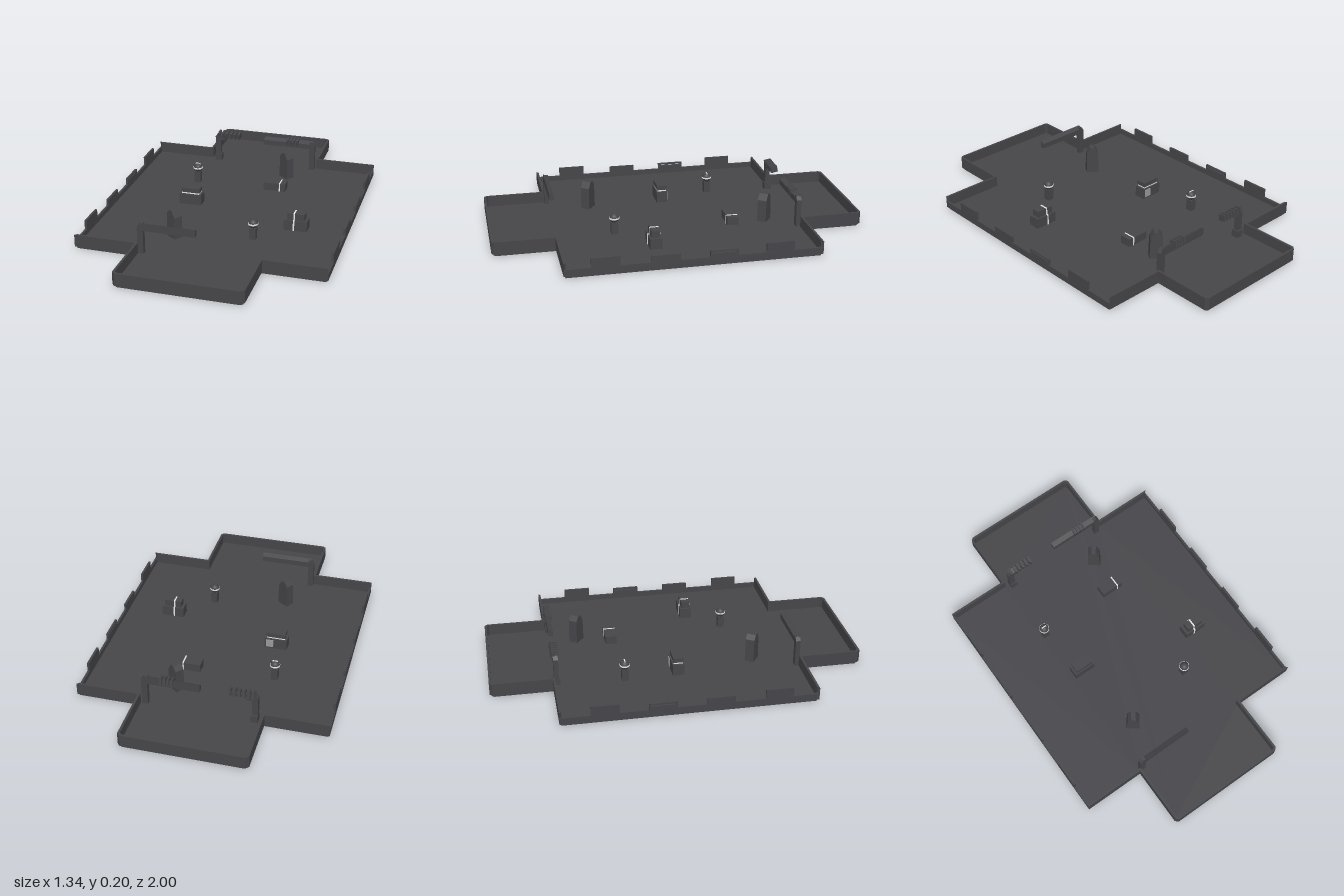
import * as THREE from 'three';

const mat = (name, color) => {
  const m = new THREE.MeshStandardMaterial({ color });
  m.name = name;
  return m;
};

export function createModel() {
  const root = new THREE.Group();
  const dark = mat('dark grey', 0x46464a);
  const white = mat('white', 0xe6e6e6);
  const grey = mat('light grey', 0x9a9a9c);

  const add = (name, geo, m = dark, parent = root) => {
    const mesh = new THREE.Mesh(geo, m);
    mesh.name = name;
    parent.add(mesh);
    return mesh;
  };
  // box given by its min and max corners
  const box = (name, x0, x1, y0, y1, z0, z1, m = dark, parent = root) => {
    const b = add(name, new THREE.BoxGeometry(x1 - x0, y1 - y0, z1 - z0), m, parent);
    b.position.set((x0 + x1) / 2, (y0 + y1) / 2, (z0 + z1) / 2);
    return b;
  };
  // horizontal outline (x, z) raised from y0 to y1
  const slab = (name, pts, y0, y1, m = dark) => {
    const s = new THREE.Shape(pts.map(p => new THREE.Vector2(p[0], p[1])));
    const g = new THREE.ExtrudeGeometry(s, { depth: y1 - y0, bevelEnabled: false });
    g.rotateX(Math.PI / 2).translate(0, y1, 0);
    return add(name, g, m);
  };
  const mirrorX = pts => [...pts, ...pts.slice().reverse().map(([x, z]) => [-x, z])];
  const half = d => [[0.67 - d, 0.67 - d], [0.335 - d, 0.67 - d],
    [0.335 - d, 0.985 - d * 0.7], [0.32 - d * 0.7, 1 - d]];

  // Cross-shaped floor with a slightly wider rim
  const outline = d => {
    const front = mirrorX(half(d));
    return [...front, ...front.map(([x, z]) => [-x, -z])];
  };
  slab('floorBase', outline(0.01), 0, 0.013);
  slab('floor', outline(0.004), 0.01, 0.02);

  // Taller walls round the front and back bays
  const bay = [...mirrorX(half(0)), ...mirrorX(half(0.012)).reverse()];
  slab('frontBayWall', bay, 0.012, 0.08);
  slab('backBayWall', bay.map(([x, z]) => [-x, -z]), 0.012, 0.08);

  // Low side walls with raised panels, some of them slotted
  for (const s of [-1, 1]) {
    const wall = new THREE.Group();
    wall.name = s > 0 ? 'leftSideWall' : 'rightSideWall';
    root.add(wall);
    const x0 = s > 0 ? 0.658 : -0.67, x1 = x0 + 0.012;
    box('lowWall', x0, x1, 0.012, 0.048, -0.67, 0.67, dark, wall);
    for (const [z, top, slot] of [[0.46, 0.098, 0], [0.155, 0.083, 0], [-0.145, 0.083, 1], [-0.44, 0.098, 0]]) {
      if (!slot) {
        box('raisedPanel', x0, x1, 0.048, top, z - 0.073, z + 0.073, dark, wall);
      } else {
        box('raisedPanel', x0, x1, 0.048, 0.068, z - 0.073, z + 0.073, dark, wall);
        box('panelRail', x0, x1, 0.074, top, z - 0.073, z + 0.073, dark, wall);
        for (const e of [-1, 1])
          box('panelEnd', x0, x1, 0.068, 0.074, z + e * 0.07 - 0.003, z + e * 0.07 + 0.003, dark, wall);
      }
    }
  }

  // Broken gateways: a post and a beam with a sloping top
  const gate = (name, xPost, xEnd, side, teeth) => {
    const g = new THREE.Group();
    g.name = name;
    root.add(g);
    const dir = Math.sign(xEnd - xPost);
    const shape = new THREE.Shape([[0.636, 0.15], [0.662, 0.15], [0.662, 0.193], [0.636, 0.18]]
      .map(p => new THREE.Vector2(p[0] * side, p[1])));
    const len = Math.abs(xEnd - xPost) - 0.012;
    const beam = new THREE.ExtrudeGeometry(shape, { depth: len, bevelEnabled: false });
    beam.rotateY(-Math.PI / 2).translate(Math.max(xPost + dir * 0.012, xEnd), 0, 0);
    add('beam', beam, dark, g);
    // post with a cut outer top corner
    const post = new THREE.Shape([[0, 0.02], [0.032, 0.02], [0.032, 0.19], [0.014, 0.19], [0, 0.17]]
      .map(p => new THREE.Vector2(xPost + dir * p[0], p[1])));
    const pg = new THREE.ExtrudeGeometry(post, { depth: 0.026, bevelEnabled: false });
    pg.translate(0, 0, side > 0 ? 0.636 : -0.662);
    add('post', pg, dark, g);
    for (const x of teeth) {
      const t = box('tooth', x - 0.006, x + 0.006, 0.165, 0.2, -0.02, 0.02, dark, g);
      t.position.z = side * 0.65;
      t.rotation.x = -side * 0.2;
    }
  };
  const row = (a, n, step) => Array.from({ length: n }, (_, i) => a + i * step);
  gate('frontGate', -0.325, -0.015, 1, []);
  gate('backGateLeft', 0.315, 0.005, -1, row(0.15, 4, 0.02));
  gate('backGateRight', -0.3, -0.24, -1, row(-0.276, 6, 0.0245));
  box('brokenBeam', -0.25, -0.15, 0.165, 0.186, -0.66, -0.645);
  box('gateFoot', -0.3, -0.26, 0.02, 0.06, -0.67, -0.63);

  // Upright stones with sloping tops
  for (const [name, x, z, a] of [['leftStone', 0.18, -0.495, -0.65], ['rightStone', -0.205, 0.425, -0.6]]) {
    const s = new THREE.Shape([[-0.036, 0], [0.036, 0], [0.032, 0.12], [0.012, 0.155], [-0.012, 0.155], [-0.032, 0.13]]
      .map(p => new THREE.Vector2(...p)));
    const g = new THREE.ExtrudeGeometry(s, { depth: 0.05, bevelEnabled: false });
    g.translate(0, 0, -0.025);
    const m = add(name, g);
    m.position.set(x, 0.02, z);
    m.rotation.y = a;
  }

  // Crates
  box('rightCrate', -0.31, -0.185, 0.02, 0.082, -0.032, 0.032);
  box('rightCrateBand', -0.298, -0.197, 0.082, 0.09, -0.025, 0.025, white);
  box('rightCrateLid', -0.3, -0.195, 0.09, 0.115, -0.027, 0.027);
  box('rightCratePanel', -0.235, -0.195, 0.03, 0.075, -0.036, -0.031, grey);
  box('backCrate', 0.095, 0.222, 0.02, 0.065, -0.34, -0.277);
  box('backCrateStripe', 0.187, 0.194, 0.02, 0.067, -0.342, -0.275, white);
  box('leftCrate', 0.33, 0.456, 0.02, 0.078, 0.13, 0.195);
  box('leftCrateLid', 0.345, 0.441, 0.078, 0.115, 0.14, 0.185);
  box('leftCrateStripe', 0.38, 0.388, 0.02, 0.08, 0.128, 0.197, white);
  box('leftCrateLidStripe', 0.38, 0.388, 0.078, 0.117, 0.138, 0.187, white);

  // Banded balls on short pillars
  for (const [name, x, z] of [['frontBeacon', 0.2, 0.34], ['backBeacon', -0.302, -0.288]]) {
    const g = new THREE.Group();
    g.name = name;
    g.position.set(x, 0, z);
    root.add(g);
    box('pillar', -0.018, 0.018, 0.02, 0.085, -0.018, 0.018, dark, g);
    add('ball', new THREE.SphereGeometry(0.026, 20, 14), dark, g).position.y = 0.108;
    add('ballBand', new THREE.CylinderGeometry(0.0275, 0.0275, 0.008, 20), white, g).position.y = 0.108;
    if (z < 0) box('ballTopStripe', -0.014, 0.014, 0.128, 0.135, -0.003, 0.003, white, g);
  }
  return root;
}
